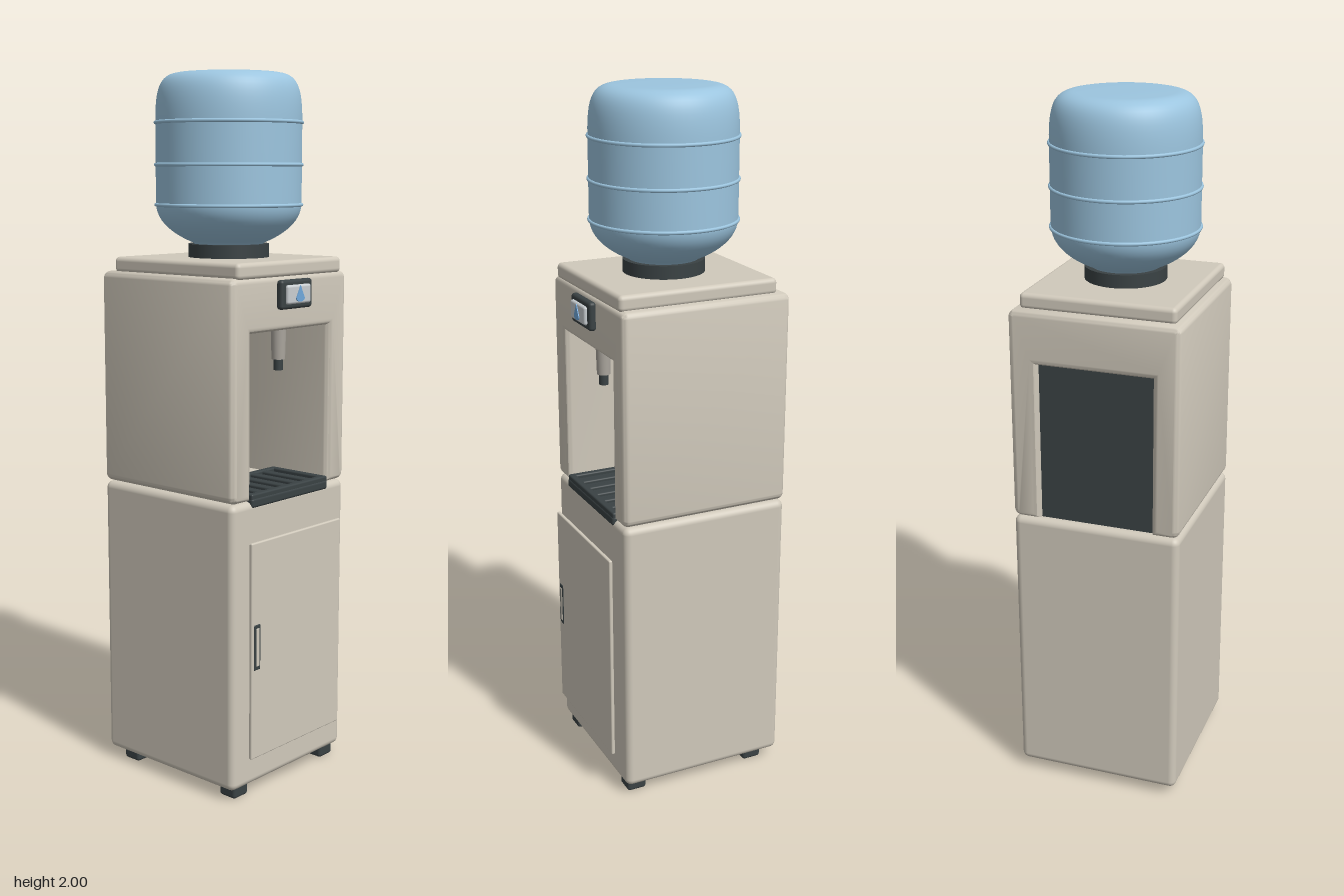
import * as THREE from 'three';
import { RoundedBoxGeometry } from 'three/addons/geometries/RoundedBoxGeometry.js';
import { toCreasedNormals } from 'three/addons/utils/BufferGeometryUtils.js';

const flat = (name, color) => Object.assign(new THREE.MeshStandardMaterial({ color }), { name });

export function createModel() {
  const model = new THREE.Group();
  model.name = 'waterDispenser';
  const shell = flat('warm beige', 0xd0c9bb);
  const dark = flat('charcoal', 0x3a4244);
  const water = flat('bottle blue', 0x9cc5df);
  const metal = flat('tap grey', 0xaba69e);
  const display = flat('display grey', 0xc9ced1);
  const icon = flat('icon blue', 0x6fa8dc);

  function add(name, geometry, material, x = 0, y = 0, z = 0) {
    const mesh = new THREE.Mesh(geometry, material);
    mesh.name = name;
    mesh.position.set(x, y, z);
    model.add(mesh);
    return mesh;
  }
  // Rounded box given by its lower and upper limits on each axis
  function block(name, material, [x0, x1], [y0, y1], [z0, z1], r) {
    return add(name, new RoundedBoxGeometry(x1 - x0, y1 - y0, z1 - z0, 4, r), material,
      (x0 + x1) / 2, (y0 + y1) / 2, (z0 + z1) / 2);
  }

  // Lower cabinet and feet
  block('lowerCabinet', shell, [-0.243, 0.243], [0.03, 0.848], [-0.267, 0.233], 0.02);
  for (const x of [-0.192, 0.192])
    for (const z of [-0.192, 0.192])
      block('foot', dark, [x - 0.029, x + 0.029], [0, 0.04], [z - 0.029, z + 0.029], 0.009);

  // Upper cabinet: an arch with rounded edges, open at front and back
  const b = 0.017, r = 0.005;
  const w = 0.243 - b, inner = 0.165 + b, y0 = 0.85 + b, y1 = 1.455 - b, roof = 1.305 + b;
  const arch = new THREE.Shape();
  arch.moveTo(inner, y0);
  arch.lineTo(w - r, y0);
  arch.absarc(w - r, y0 + r, r, -Math.PI / 2, 0);
  arch.absarc(w - r, y1 - r, r, 0, Math.PI / 2);
  arch.absarc(-w + r, y1 - r, r, Math.PI / 2, Math.PI);
  arch.absarc(-w + r, y0 + r, r, Math.PI, Math.PI * 1.5);
  arch.lineTo(-inner, y0);
  arch.lineTo(-inner, roof);
  arch.lineTo(inner, roof);
  arch.closePath();
  const archGeometry = new THREE.ExtrudeGeometry(arch, {
    depth: 0.5 - 2 * b, bevelThickness: b, bevelSize: b, bevelSegments: 5, curveSegments: 4,
  });
  add('upperCabinet', toCreasedNormals(archGeometry, 0.7), shell, 0, 0, -0.267 + b);

  // Niche back panel and lid
  add('nicheBackPanel', new THREE.BoxGeometry(0.335, 0.47, 0.02), dark, 0, 1.08, -0.232);
  block('lid', shell, [-0.22, 0.22], [1.45, 1.495], [-0.238, 0.232], 0.013);

  // Drip tray with slats running front to back
  block('dripTray', dark, [-0.165, 0.165], [0.83, 0.858], [0.03, 0.236], 0.008);
  for (const x of [-0.154, 0.154])
    block('trayRim', dark, [x - 0.01, x + 0.01], [0.85, 0.869], [0.03, 0.234], 0.005);
  for (const z of [0.04, 0.224])
    block('trayRim', dark, [-0.16, 0.16], [0.85, 0.869], [z - 0.01, z + 0.01], 0.005);
  for (let i = -2; i <= 2; i++)
    block('traySlat', dark, [i * 0.052 - 0.012, i * 0.052 + 0.012], [0.85, 0.867], [0.04, 0.225], 0.005);

  // Tap
  add('tapBody', new THREE.CylinderGeometry(0.022, 0.019, 0.1, 24), metal, 0, 1.27, 0.185);
  add('tapNozzle', new THREE.CylinderGeometry(0.013, 0.013, 0.035, 20), dark, 0, 1.207, 0.185);

  // Control display with a drop icon
  block('displayHousing', dark, [-0.066, 0.066], [1.364, 1.444], [0.23, 0.252], 0.009);
  block('displayFace', display, [-0.05, 0.05], [1.378, 1.43], [0.245, 0.261], 0.007);
  const drop = new THREE.Shape();
  drop.moveTo(0, 0.024);
  drop.quadraticCurveTo(0.009, 0.006, 0.017, -0.009);
  drop.bezierCurveTo(0.02, -0.024, -0.02, -0.024, -0.017, -0.009);
  drop.quadraticCurveTo(-0.009, 0.006, 0, 0.024);
  add('dropIcon', new THREE.ExtrudeGeometry(drop, { depth: 0.003, bevelEnabled: false }),
    icon, 0, 1.404, 0.2605);

  // Door panel and handle
  block('door', shell, [-0.195, 0.195], [0.122, 0.742], [0.25, 0.261], 0.004);
  block('handleSurround', dark, [-0.186, -0.16], [0.38, 0.51], [0.256, 0.263], 0.003);
  block('handleGrip', shell, [-0.179, -0.165], [0.39, 0.5], [0.258, 0.2645], 0.003);

  // Bottle collar, bottle and its ridges
  add('bottleCollar', new THREE.CylinderGeometry(0.114, 0.114, 0.04, 48), dark, 0, 1.512, 0);
  const outline = new THREE.Path();
  outline.moveTo(0, 1.52);
  outline.lineTo(0.09, 1.52);
  outline.lineTo(0.1, 1.535);
  outline.bezierCurveTo(0.15, 1.555, 0.204, 1.59, 0.204, 1.645);
  outline.lineTo(0.204, 1.865);
  outline.bezierCurveTo(0.204, 1.96, 0.19, 1.992, 0.145, 1.998);
  outline.quadraticCurveTo(0.08, 2, 0, 2);
  add('bottle', new THREE.LatheGeometry(outline.getPoints(12), 64), water);
  for (const y of [1.64, 1.75, 1.865])
    add('bottleRidge', new THREE.TorusGeometry(0.204, 0.005, 8, 64), water, 0, y, 0).rotation.x = Math.PI / 2;

  return model;
}
